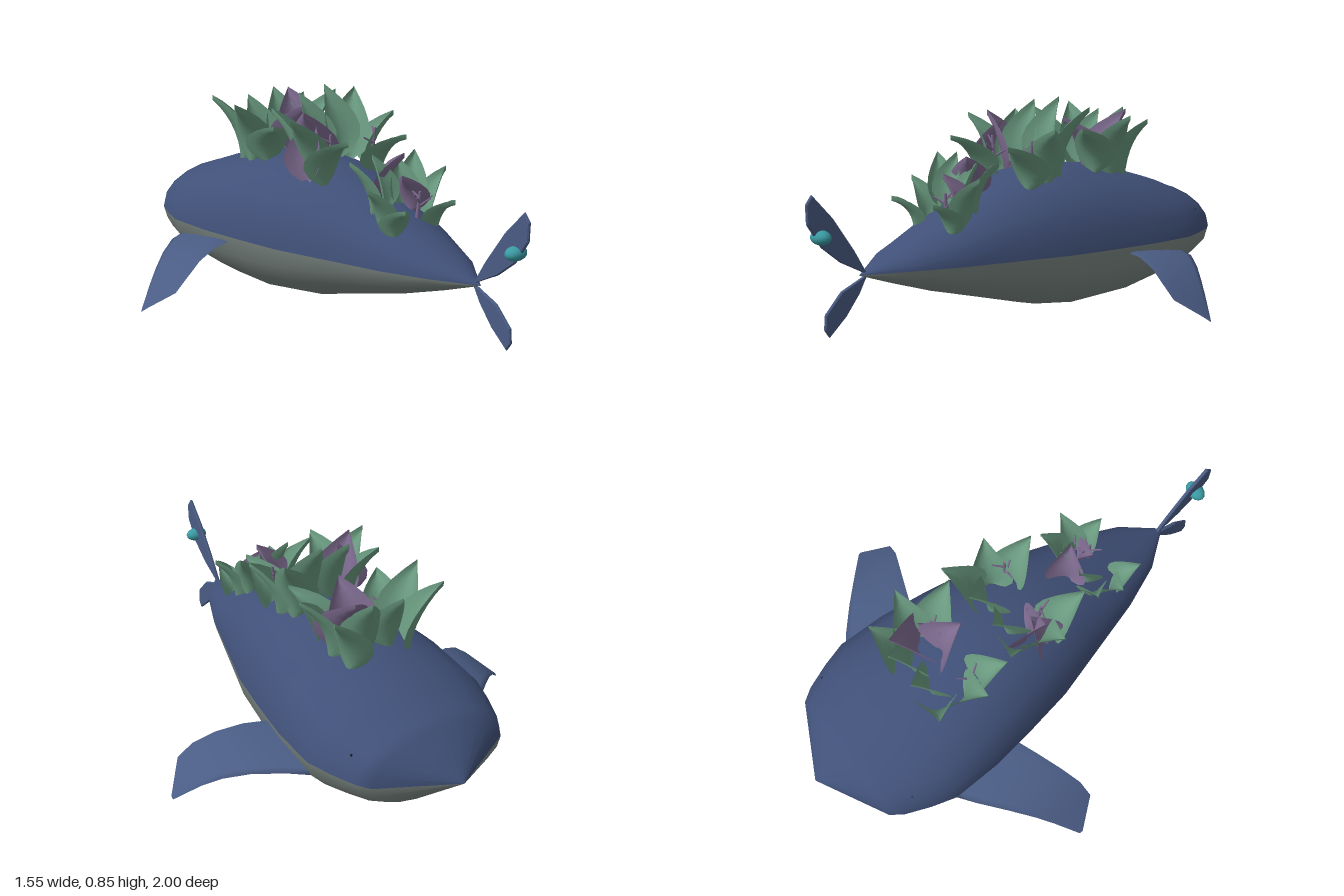
import * as THREE from 'three';

const mat = (color) => new THREE.MeshStandardMaterial({ color, side: THREE.DoubleSide });

// Surface over rows x cols cells; fn(i, j) returns [x, y, z]
function grid(rows, cols, fn) {
  const pos = [], index = [];
  for (let i = 0; i <= rows; i++) for (let j = 0; j <= cols; j++) pos.push(...fn(i, j));
  for (let i = 0; i < rows; i++) for (let j = 0; j < cols; j++) {
    const a = i * (cols + 1) + j, b = a + cols + 1;
    index.push(a, a + 1, b, a + 1, b + 1, b);
  }
  const geo = new THREE.BufferGeometry();
  geo.setAttribute('position', new THREE.Float32BufferAttribute(pos, 3));
  geo.setIndex(index);
  geo.computeVertexNormals();
  return geo;
}

// Body stations: z, half width, top y, bottom y
const BODY = [
  [-1, 0, 0.275, 0.275], [-0.85, 0.29, 0.425, 0.14], [-0.8, 0.325, 0.44, 0.113],
  [-0.7, 0.365, 0.478, 0.085], [-0.6, 0.395, 0.51, 0.057], [-0.4, 0.388, 0.56, 0.015],
  [-0.2, 0.36, 0.585, 0.003], [0, 0.325, 0.575, 0.03], [0.2, 0.265, 0.52, 0.085],
  [0.45, 0.19, 0.41, 0.153], [0.63, 0.115, 0.335, 0.212], [0.78, 0, 0.265, 0.265],
];
const SEAM = 0.275;

// Height of the back at x, z
function backHeight(x, z) {
  const k = Math.max(1, BODY.findIndex((s) => s[0] >= z));
  const a = BODY[k - 1], b = BODY[k], t = (z - a[0]) / (b[0] - a[0]);
  const w = a[1] + (b[1] - a[1]) * t, top = a[2] + (b[2] - a[2]) * t;
  return SEAM + (top - SEAM) * Math.sqrt(Math.max(0, 1 - (x / w) ** 2));
}

// Upper (start 0) or lower (start PI) half of the hull
const hull = (start) => grid(BODY.length - 1, 10, (i, j) => {
  const [z, w, top, bottom] = BODY[i], a = start + (j / 10) * Math.PI;
  const seam = Math.min(SEAM, top), h = start ? seam - bottom : top - seam;
  return [w * Math.cos(a), seam + h * Math.sin(a), z];
});

// Flipper stations: x, leading z, trailing z, y
const FIN = [
  [0.33, -0.63, -0.28, 0.228], [0.45, -0.545, -0.235, 0.232], [0.55, -0.46, -0.195, 0.212],
  [0.63, -0.39, -0.163, 0.175], [0.69, -0.34, -0.155, 0.132], [0.775, -0.272, -0.258, 0.056],
];
const finGeometry = () => grid(FIN.length - 1, 10, (i, j) => {
  const [x, lead, trail, y] = FIN[i], a = (j / 10) * Math.PI * 2, c = Math.cos(a);
  const taper = 1 - i / FIN.length;
  return [x, y + 0.022 * c * taper - 0.014 * taper * Math.sin(a), (lead + trail) / 2 + ((trail - lead) / 2) * c];
});

// Thin upright fluke from z, y outline points
function fluke(points) {
  const shape = new THREE.Shape(points.map(([z, y]) => new THREE.Vector2(-z, y)));
  const geo = new THREE.ExtrudeGeometry(shape, {
    depth: 0.006, bevelThickness: 0.004, bevelSize: 0.004, bevelOffset: -0.004, bevelSegments: 1,
  });
  geo.translate(0, 0, -0.003);
  return geo.rotateY(Math.PI / 2);
}

// Cupped leaf growing up and bending towards +z
const leafGeometry = (length, width, bend) => grid(7, 6, (i, j) => {
  const t = i / 7, s = j / 3 - 1;
  const w = width * (0.12 * (1 - t) + Math.sin(Math.PI * Math.pow(t, 0.8)) * 0.95);
  return [
    s * w,
    (length * Math.sin(bend * t)) / bend + 0.02 * s * s * t,
    (length * (1 - Math.cos(bend * t))) / bend - 0.6 * w * s * s,
  ];
});

export function createModel() {
  const model = new THREE.Group();
  const blue = mat(0x405078), finBlue = mat(0x4a5c84), grey = mat(0x7d8985);
  const green = mat(0x6a9a80), purple = mat(0x7e6b90), teal = mat(0x3a9ba3), black = mat(0x14171f);

  const add = (name, geo, material, parent = model) => {
    const mesh = new THREE.Mesh(geo, material);
    mesh.name = name;
    parent.add(mesh);
    return mesh;
  };

  add('back', hull(0), blue);
  add('belly', hull(Math.PI), grey);

  // Paired flippers and eyes
  for (const side of [1, -1]) {
    const label = side > 0 ? 'left' : 'right';
    add(label + 'Flipper', finGeometry(), finBlue).scale.x = side;
    add(label + 'Eye', new THREE.SphereGeometry(0.009, 8, 6), black).position.set(side * 0.3, 0.355, -0.74);
  }

  // Tail flukes with a glowing bead
  add('upperFluke', fluke([[0.745, 0.265], [0.8, 0.36], [0.89, 0.49], [0.975, 0.582], [1, 0.55],
    [0.998, 0.48], [0.94, 0.39], [0.86, 0.325]]), finBlue);
  add('lowerFluke', fluke([[0.745, 0.265], [0.86, 0.218], [0.93, 0.145], [0.935, 0.09], [0.915, 0.06],
    [0.84, 0.125], [0.78, 0.2]]), finBlue);
  const bead = add('tailBead', new THREE.SphereGeometry(1, 14, 10), teal);
  bead.scale.set(0.047, 0.027, 0.033);
  bead.position.set(0, 0.427, 0.94);

  // Garden of leaf tufts along the back
  const garden = new THREE.Group();
  garden.name = 'garden';
  model.add(garden);
  const addLeaf = (x, z, yaw, length, width, bend, material) => {
    const leaf = add(material === purple ? 'purpleLeaf' : 'greenLeaf', leafGeometry(length, width, bend), material, garden);
    leaf.position.set(x, backHeight(x, z) - 0.015, z);
    leaf.rotation.y = THREE.MathUtils.degToRad(yaw);
  };
  // Leaf ring: x, z, yaw, length factor, bend
  const RING = [
    [0.14, 0.07, 15, 0.85, 1.3], [0.16, -0.02, 75, 1, 0.9],
    [0.14, -0.12, 125, 1.05, 0.8], [0.06, -0.1, 170, 1, 0.6],
  ];
  // Tufts: z, size, spread
  const TUFTS = [[-0.36, 1, 1], [0.01, 1.02, 0.98], [0.39, 0.72, 0.75]];
  TUFTS.forEach(([z, size, spread], n) => {
    for (const side of [1, -1]) RING.forEach(([x, dz, yaw, len, bend], k) => {
      const wobble = 12 * Math.sin(n * 2.3 + k * 1.7 + side);
      addLeaf(side * x * spread, z + dz * spread, side * yaw + wobble,
        0.265 * size * len * (1 + wobble / 120), 0.085 * size, bend, green);
    });
  });
  addLeaf(0.1, -0.4, 165, 0.26, 0.11, 0.8, purple);
  addLeaf(0.04, -0.33, -10, 0.22, 0.1, 0.9, purple);
  addLeaf(-0.12, -0.04, -60, 0.25, 0.1, 0.6, purple);
  addLeaf(-0.17, 0.0, 110, 0.24, 0.08, 0.5, purple);
  addLeaf(0.01, 0.26, 40, 0.18, 0.08, 0.8, purple);
  addLeaf(0.05, 0.35, -70, 0.16, 0.07, 0.9, purple);

  // Branching stems between the leaves
  const up = new THREE.Vector3(0, 1, 0);
  const twig = (from, to, r) => {
    const dir = to.clone().sub(from), length = dir.length();
    const mesh = add('stem', new THREE.CylinderGeometry(r * 0.6, r, length, 6), purple, garden);
    mesh.position.copy(from).addScaledVector(dir, 0.5);
    mesh.quaternion.setFromUnitVectors(up, dir.normalize());
  };
  for (const [x, z, h] of [[-0.12, -0.32, 0.13], [0.11, -0.32, 0.14], [0.12, 0.04, 0.18],
    [-0.08, 0.04, 0.17], [0.08, 0.36, 0.1], [0.04, 0.4, 0.12]]) {
    const base = new THREE.Vector3(x, backHeight(x, z) - 0.02, z);
    const top = base.clone().add(new THREE.Vector3(x * 0.15, h, 0.01));
    twig(base, top, 0.009);
    for (let k = 0; k < 3; k++) {
      const a = k * 2.1 + x * 9, start = base.clone().lerp(top, 0.5 + k * 0.15);
      twig(start, start.clone().add(new THREE.Vector3(Math.cos(a) * 0.05, 0.03, Math.sin(a) * 0.05)), 0.005);
    }
  }
  return model;
}
